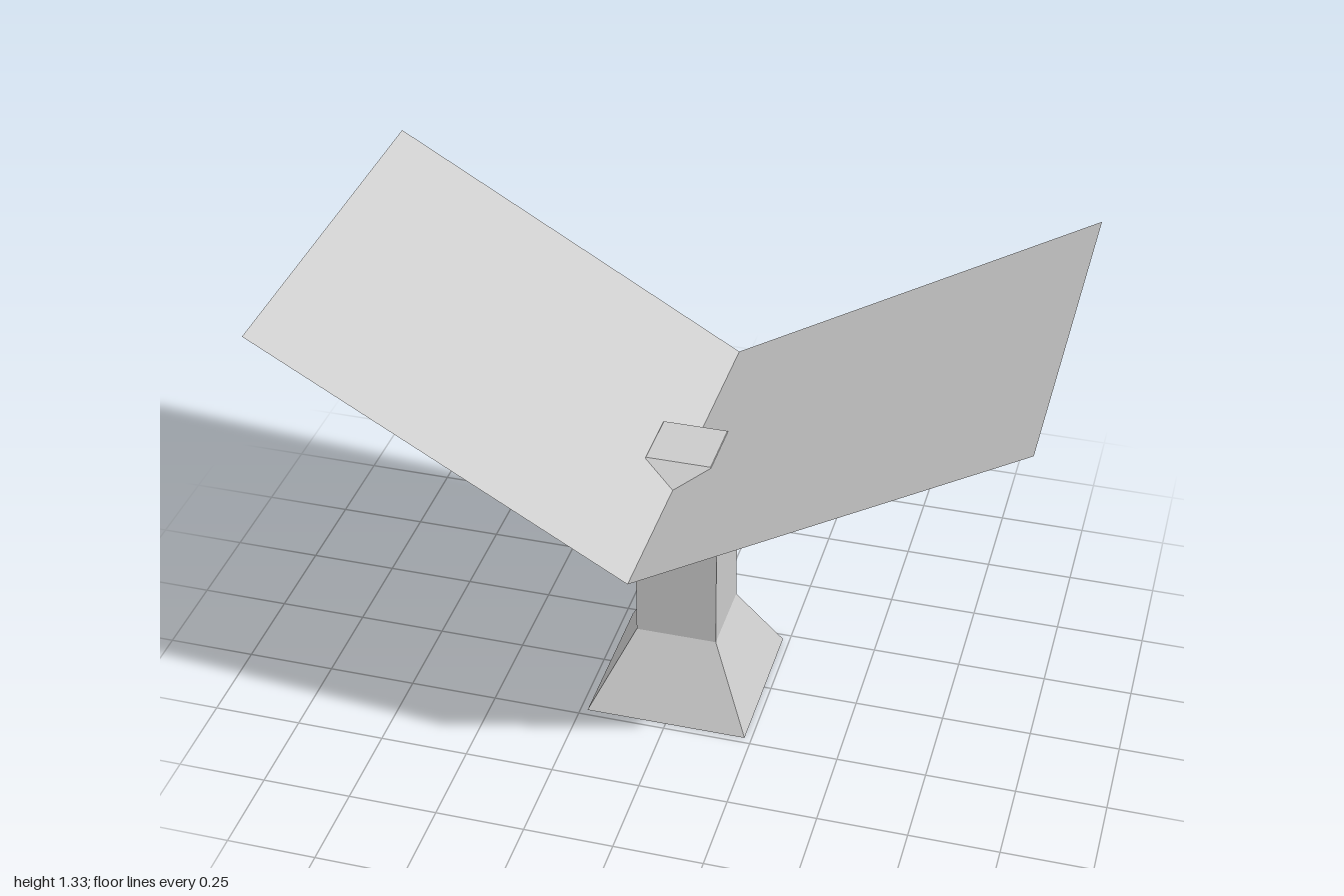
import * as THREE from 'three';

export function createModel() {
  const model = new THREE.Group();
  const grey = new THREE.MeshStandardMaterial({ color: 0xcccccc, flatShading: true });
  const sheet = new THREE.MeshStandardMaterial({ color: 0xcccccc, flatShading: true, side: THREE.DoubleSide });

  // Square post: flared foot, straight shaft, bevelled cap (half-width, height)
  const profile = [
    [0, 0], [0.23, 0], [0.115, 0.23], [0.115, 0.695], [0.145, 0.75], [0.09, 0.805], [0, 0.805],
  ].map(([half, y]) => new THREE.Vector2(half * Math.SQRT2, y));
  const post = new THREE.Mesh(new THREE.LatheGeometry(profile, 4, Math.PI / 4), grey);
  post.name = 'post';
  model.add(post);

  // Two thin panels rising from a shared crease to form a V
  const creaseY = 0.75, tipY = 1.33, depth = 1.15;
  const length = Math.hypot(1, tipY - creaseY);
  const slope = Math.atan2(tipY - creaseY, 1);
  for (const side of [1, -1]) {
    const geometry = new THREE.PlaneGeometry(length, depth)
      .rotateX(-Math.PI / 2)
      .translate(side * length / 2, 0, 0)
      .rotateZ(side * slope);
    const panel = new THREE.Mesh(geometry, sheet);
    panel.name = side > 0 ? 'leftPanel' : 'rightPanel';
    panel.position.y = creaseY;
    model.add(panel);
  }
  return model;
}
